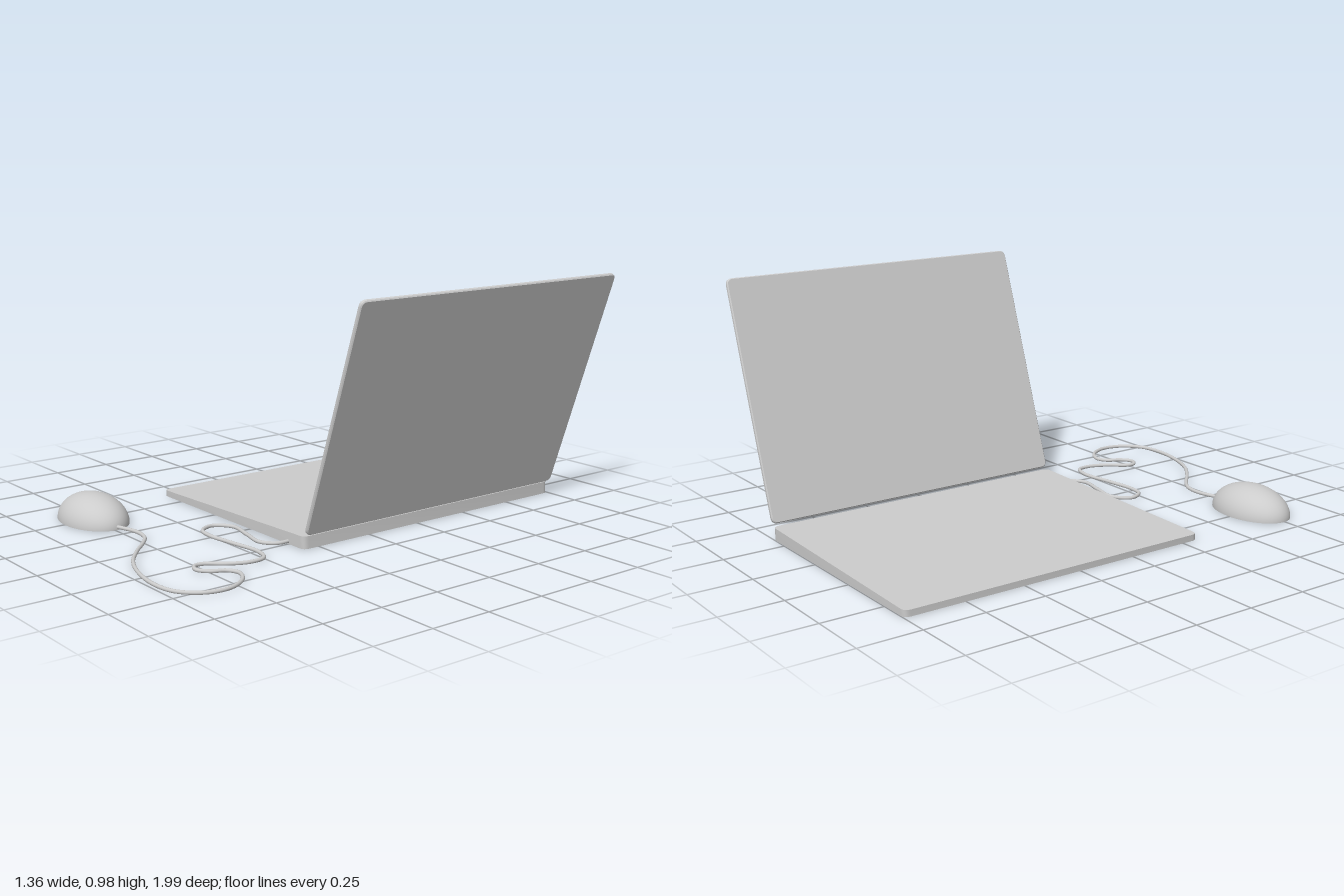
import * as THREE from 'three';
import { toCreasedNormals } from 'three/addons/utils/BufferGeometryUtils.js';

const grey = new THREE.MeshStandardMaterial({ color: 0xcccccc });

function part(name, geometry, parent) {
  const mesh = new THREE.Mesh(geometry, grey);
  mesh.name = name;
  parent.add(mesh);
  return mesh;
}

// Rectangle with rounded corners, centred on the origin
function roundedRect(w, h, r) {
  const x = w / 2, y = h / 2;
  const s = new THREE.Shape();
  s.moveTo(-x + r, -y);
  s.lineTo(x - r, -y).quadraticCurveTo(x, -y, x, -y + r);
  s.lineTo(x, y - r).quadraticCurveTo(x, y, x - r, y);
  s.lineTo(-x + r, y).quadraticCurveTo(-x, y, -x, y - r);
  s.lineTo(-x, -y + r).quadraticCurveTo(-x, -y, -x + r, -y);
  return s;
}

export function createModel() {
  const model = new THREE.Group();
  model.name = 'laptopWithMouse';
  const depth = 1.32, midZ = -0.338;

  const laptop = new THREE.Group();
  laptop.name = 'laptop';
  model.add(laptop);

  // Base: rounded slab whose top rises towards the hinge
  let base = new THREE.ExtrudeGeometry(roundedRect(0.974, depth, 0.025), {
    depth: 1, bevelEnabled: false, curveSegments: 4,
  });
  base.rotateX(-Math.PI / 2).translate(-0.142, 0, midZ);
  const p = base.attributes.position;
  for (let i = 0; i < p.count; i++) {
    const top = 0.025 + 0.025 * (p.getX(i) + 0.629) / 0.974;
    p.setY(i, p.getY(i) * top);
  }
  base = toCreasedNormals(base, 0.6);
  part('base', base, laptop);

  // Lid: thin rounded panel with softened edges, leaning back from the hinge
  const bevel = 0.004, thickness = 0.018;
  let lid = new THREE.ExtrudeGeometry(
    roundedRect(depth - 2 * bevel, 0.97 - 2 * bevel, 0.022), {
      depth: thickness - 2 * bevel, bevelEnabled: true, bevelThickness: bevel,
      bevelSize: bevel, bevelSegments: 1, curveSegments: 4,
    });
  lid.translate(0, 0, -thickness / 2 + bevel).rotateY(Math.PI / 2);
  lid = toCreasedNormals(lid, 0.6);
  const screen = part('screenLid', lid, laptop);
  screen.position.set(0.51, 0.517, midZ);
  screen.rotation.z = -Math.atan2(0.314, 0.91);

  // Mouse: half ellipsoid with a flat underside
  const mouse = new THREE.Group();
  mouse.name = 'mouse';
  mouse.position.set(-0.494, 0, 0.743);
  mouse.scale.set(0.186, 0.113, 0.127);
  model.add(mouse);
  part('mouseShell', new THREE.SphereGeometry(1, 48, 20, 0, Math.PI * 2, 0, Math.PI / 2), mouse);
  part('mouseUnderside', new THREE.CircleGeometry(1, 48).rotateX(Math.PI / 2), mouse);

  // Cable: winds over the ground from the base to the nose of the mouse
  const path = [
    [0.246, 0.3], [0.243, 0.37], [0.19, 0.413], [0.08, 0.395], [-0.04, 0.378],
    [-0.1, 0.435], [-0.07, 0.5], [0, 0.517], [0.12, 0.505], [0.28, 0.487],
    [0.355, 0.515], [0.365, 0.58], [0.33, 0.66], [0.279, 0.725], [0.278, 0.765],
    [0.318, 0.787], [0.365, 0.755], [0.39, 0.705], [0.437, 0.683], [0.51, 0.72],
    [0.556, 0.81], [0.54, 0.9], [0.47, 0.97], [0.37, 0.989], [0.23, 0.968],
    [0.1, 0.915], [0, 0.838], [-0.07, 0.77], [-0.13, 0.726], [-0.21, 0.712],
    [-0.34, 0.745],
  ].map(([x, z]) => new THREE.Vector3(x, 0.011, z));
  part('cable', new THREE.TubeGeometry(new THREE.CatmullRomCurve3(path), 240, 0.0075, 10), model);

  return model;
}
